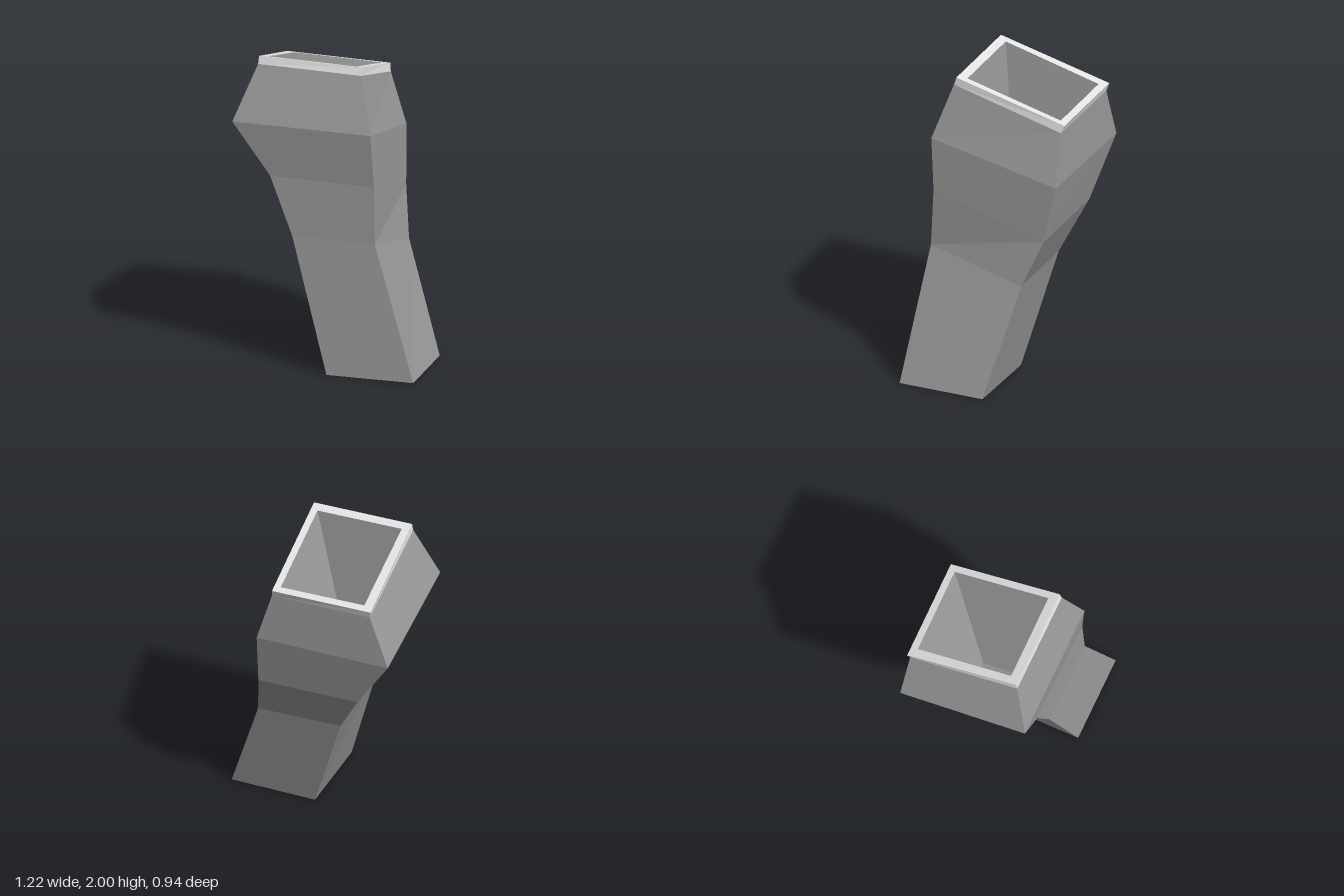
import * as THREE from 'three';

const body = new THREE.MeshStandardMaterial({ color: 0x999999, side: THREE.DoubleSide, flatShading: true });
body.name = 'mid grey';
const light = new THREE.MeshStandardMaterial({ color: 0xe5e5e5, side: THREE.DoubleSide, flatShading: true });
light.name = 'light grey';

// Joins four-cornered rings with flat walls; corners run front right, front left, back left, back right
function loft(name, rings, material, cap = false) {
  const pos = [];
  const quad = (a, b, c, d) => pos.push(...a, ...b, ...c, ...a, ...c, ...d);
  for (let r = 0; r < rings.length - 1; r++) {
    const a = rings[r], b = rings[r + 1];
    for (let i = 0; i < 4; i++) {
      const j = (i + 1) % 4;
      quad(a[i], a[j], b[j], b[i]);
    }
  }
  if (cap) quad(...rings[rings.length - 1]);
  const geometry = new THREE.BufferGeometry();
  geometry.setAttribute('position', new THREE.Float32BufferAttribute(pos, 3));
  geometry.computeVertexNormals();
  const mesh = new THREE.Mesh(geometry, material);
  mesh.name = name;
  return mesh;
}

export function createModel() {
  const group = new THREE.Group();
  group.name = 'bentChute';

  const collar = [[-0.465, 1.95, 0.28], [0.21, 1.935, 0.28], [0.185, 1.73, -0.45], [-0.485, 1.745, -0.45]];
  const rimOuter = [[-0.462, 2, 0.27], [0.208, 1.985, 0.265], [0.176, 1.78, -0.47], [-0.498, 1.795, -0.465]];
  const rimInner = [[-0.415, 1.984, 0.215], [0.16, 1.97, 0.21], [0.135, 1.792, -0.425], [-0.435, 1.806, -0.42]];

  // Leaning outer shell, open at the foot
  group.add(loft('outerShell', [
    [[0.04, 0, 0.47], [0.61, 0, 0.47], [0.61, 0, -0.105], [0.04, 0, -0.105]],
    [[-0.21, 0.87, 0.385], [0.332, 0.86, 0.383], [0.363, 0.705, -0.257], [-0.2, 0.72, -0.255]],
    [[-0.36, 1.25, 0.37], [0.322, 1.235, 0.37], [0.305, 1.015, -0.387], [-0.372, 1.03, -0.385]],
    [[-0.6, 1.592, 0.395], [0.305, 1.582, 0.393], [0.285, 1.39, -0.46], [-0.613, 1.4, -0.46]],
    collar,
  ], body));

  // Pale lip around the mouth
  group.add(loft('rim', [collar, rimOuter, rimInner], light));

  // Tapering well inside the mouth
  group.add(loft('innerWell', [
    rimInner,
    [[-0.273, 1.1, 0.09], [-0.093, 1.095, 0.09], [-0.095, 1.035, -0.123], [-0.275, 1.04, -0.123]],
  ], body, true));

  return group;
}
